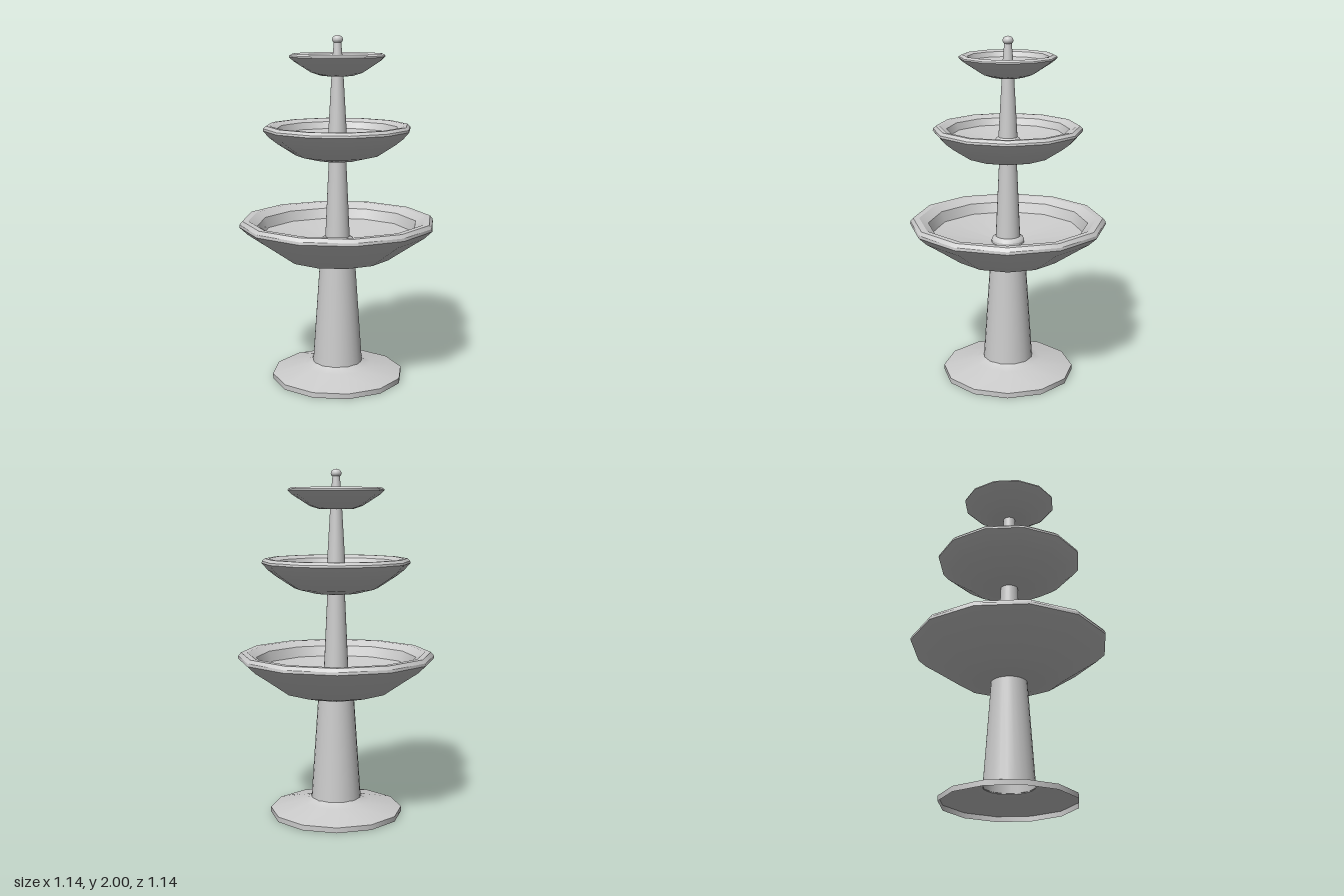
import * as THREE from 'three';

const material = new THREE.MeshStandardMaterial({ color: 0xcccccc, side: THREE.DoubleSide });

// Turned part: each section is smooth, with a sharp ring where sections meet
function turned(name, sides, sections) {
  const part = new THREE.Group();
  part.name = name;
  for (const section of sections) {
    const points = section.map(([r, y]) => new THREE.Vector2(r, y));
    const mesh = new THREE.Mesh(new THREE.LatheGeometry(points, sides), material);
    mesh.name = name + 'Surface';
    part.add(mesh);
  }
  return part;
}

// Twelve-sided bowl: underside, rim edge, lip, sloped inner band, steep wall, dished floor
function bowl(name, under, [lip, slope, floor], floorCentreY) {
  const rim = under[under.length - 1];
  const [R, Y] = rim;
  const edge = [R - 0.002, Y + (lip[1] - Y) * 0.45];
  const top = [R - 0.018, lip[1]];
  return turned(name, 12, [
    [[0, under[0][1]], ...under],
    [rim, edge],
    [edge, top],
    [top, lip],
    [lip, slope],
    [slope, floor],
    [floor, [0, floorCentreY]],
  ]);
}

// Tapered column with a rounded collar at its foot
function column(name, y0, y1, r0, r1, collar) {
  const h = 0.05;
  return turned(name, 24, [
    [[collar, y0], [collar, y0 + h * 0.55]],
    [[collar, y0 + h * 0.55], [collar - 0.007, y0 + h * 0.85], [r0, y0 + h]],
    [[r0, y0 + h], [r1, y1]],
  ]);
}

export function createModel() {
  const fountain = new THREE.Group();
  fountain.name = 'tieredFountain';

  // Hollow foot, open underneath
  fountain.add(turned('base', 12, [
    [[0.385, 0], [0.385, 0.03]],
    [[0.385, 0.03], [0.2, 0.075], [0.165, 0.087], [0.145, 0.1]],
  ]));
  fountain.add(turned('lowerColumn', 24, [[[0.145, 0.095], [0.103, 0.705]]]));

  fountain.add(bowl('lowerBowl',
    [[0.18, 0.7], [0.31, 0.732], [0.445, 0.825], [0.52, 0.875], [0.568, 0.92]],
    [[0.515, 0.955], [0.463, 0.925], [0.44, 0.865]], 0.8));
  fountain.add(column('middleColumn', 0.8, 1.305, 0.071, 0.05, 0.095));

  fountain.add(bowl('middleBowl',
    [[0.13, 1.3], [0.24, 1.327], [0.345, 1.395], [0.39, 1.43], [0.425, 1.47]],
    [[0.387, 1.497], [0.348, 1.48], [0.33, 1.44]], 1.385));
  fountain.add(column('upperColumn', 1.385, 1.78, 0.054, 0.034, 0.074));

  fountain.add(bowl('upperBowl',
    [[0.095, 1.775], [0.15, 1.793], [0.205, 1.828], [0.25, 1.857], [0.274, 1.88]],
    [[0.25, 1.897], [0.226, 1.888], [0.212, 1.86]], 1.83));

  // Finial: tapered stem, small neck and rounded knob
  fountain.add(turned('finial', 20, [
    [[0.033, 1.83], [0.021, 1.958]],
    [[0.021, 1.958], [0.028, 1.964], [0.031, 1.975], [0.027, 1.988], [0.015, 1.997], [0, 2]],
  ]));

  return fountain;
}
